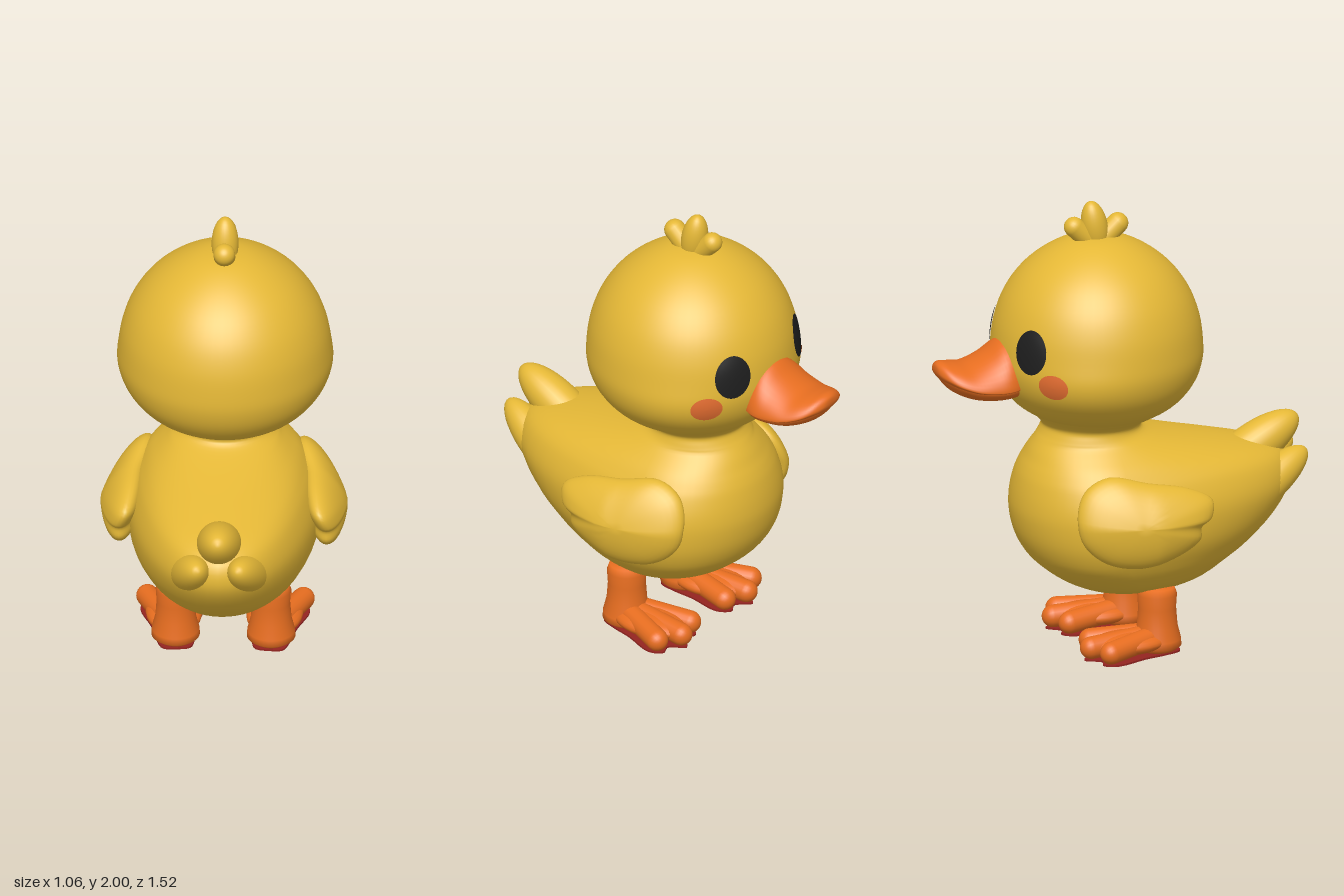
import * as THREE from 'three';
import { mergeVertices } from 'three/addons/utils/BufferGeometryUtils.js';

const V = (x, y, z) => new THREE.Vector3(x, y, z);

function material(name, color) {
  const m = new THREE.MeshStandardMaterial({ color });
  m.name = name;
  return m;
}

// Smooth interpolation through a list of stations, t in 0..1
function spline(stations, t) {
  const n = stations.length - 1;
  const f = Math.min(t * n, n - 1e-6), i = Math.floor(f), u = f - i;
  const at = k => stations[Math.max(0, Math.min(n, k))];
  return at(i).map((p1, c) => {
    const p0 = at(i - 1)[c], p2 = at(i + 1)[c], p3 = at(i + 2)[c];
    return p1 + 0.5 * u * (p2 - p0 + u * (2 * p0 - 5 * p1 + 4 * p2 - p3 + u * (3 * (p1 - p2) + p3 - p0)));
  });
}

// Closed skin over rings of points; point(t, angle) gives a position
function loft(rows, cols, point) {
  const pos = [], index = [];
  for (let i = 0; i <= rows; i++) {
    for (let j = 0; j < cols; j++) {
      pos.push(...point(i / rows, (j / cols) * Math.PI * 2));
      if (i === rows) continue;
      const a = i * cols + j, b = i * cols + (j + 1) % cols;
      index.push(a, b, b + cols, a, b + cols, a + cols);
    }
  }
  let g = new THREE.BufferGeometry();
  g.setAttribute('position', new THREE.Float32BufferAttribute(pos, 3));
  g.setIndex(index);
  g = mergeVertices(g, 1e-5);
  g.computeVertexNormals();
  return g;
}

// Body sections by height: y, half width, front z, back z; the neck flares into the head
const BODY = [
  [0.23, 0, -0.03, -0.03], [0.244, 0.13, 0.12, -0.21], [0.293, 0.255, 0.25, -0.37],
  [0.36, 0.33, 0.35, -0.48], [0.43, 0.378, 0.42, -0.58], [0.52, 0.412, 0.467, -0.675],
  [0.62, 0.42, 0.487, -0.75], [0.7, 0.41, 0.484, -0.775], [0.78, 0.38, 0.468, -0.75],
  [0.83, 0.35, 0.45, -0.67], [0.87, 0.32, 0.43, -0.51], [0.91, 0.28, 0.41, -0.33],
  [0.95, 0.24, 0.385, -0.17], [0.98, 0.222, 0.365, -0.09], [1.01, 0.216, 0.354, -0.082],
  [1.035, 0.238, 0.368, -0.118], [1.06, 0.278, 0.392, -0.166], [1.09, 0.316, 0.426, -0.205],
];

// Head profile: radius, y
const HEAD = [
  [0, 1.03], [0.2, 1.035], [0.285, 1.065], [0.365, 1.12], [0.427, 1.2], [0.457, 1.29], [0.458, 1.38],
  [0.441, 1.49], [0.398, 1.6], [0.325, 1.7], [0.225, 1.78], [0.113, 1.832], [0, 1.848],
];
const HEAD_Z = 0.111;

// Point on the head, with softly swelling cheeks
function headPoint(r, y, phi, lift = 0) {
  const d = Math.abs(Math.atan2(Math.sin(phi), Math.cos(phi))) - 1.1;
  const R = r * (1 + 0.04 * Math.exp(-d * d * 4 - ((y - 1.25) / 0.12) ** 2)) + lift;
  return [R * Math.sin(phi), y, HEAD_Z + R * Math.cos(phi)];
}

function headRadiusAt(y) {
  let lo = 0, hi = 1;
  for (let k = 0; k < 30; k++) {
    const mid = (lo + hi) / 2;
    if (spline(HEAD, mid)[1] < y) lo = mid; else hi = mid;
  }
  return spline(HEAD, lo)[0];
}

// Oval patch lying on the head
function facePatch(phi, y, rx, ry, lift) {
  const g = new THREE.RingGeometry(0.001, 1, 36, 6), p = g.attributes.position;
  for (let i = 0; i < p.count; i++) {
    const u = p.getX(i), v = p.getY(i), yy = y + v * ry;
    const h = 0.003 + lift * (1 - u * u - v * v);
    p.setXYZ(i, ...headPoint(headRadiusAt(yy), yy, phi + u * rx / 0.45, h));
  }
  g.computeVertexNormals();
  return g;
}

// Bill sections: z, half width, ridge y, edge y, bottom y
const BILL = [
  [0.45, 0.1, 1.41, 1.25, 1.18], [0.5, 0.155, 1.425, 1.245, 1.172], [0.56, 0.183, 1.425, 1.24, 1.167],
  [0.63, 0.185, 1.375, 1.24, 1.168], [0.71, 0.174, 1.34, 1.25, 1.18], [0.78, 0.146, 1.345, 1.272, 1.208],
  [0.825, 0.104, 1.352, 1.295, 1.242], [0.85, 0.05, 1.342, 1.31, 1.28], [0.855, 0, 1.32, 1.32, 1.32],
];

function upperBill(t, a) {
  const [z, w, top, edge] = spline(BILL, t), s = Math.sin(a);
  const y = s > 0 ? edge + (top - edge) * s ** 1.25 : edge + s * Math.min(0.024, w * 0.3);
  return [w * Math.cos(a), y, z];
}

function lowerBill(t, a) {
  const [z, w, , edge, bottom] = spline(BILL, t), s = Math.sin(a);
  const y = edge + s * (s > 0 ? 0.01 : edge - bottom);
  return [w * 0.93 * Math.cos(a), y, 0.45 + (z - 0.45) * 0.96];
}

// Wing outline from the top towards the front: y, z
const WING = new THREE.CatmullRomCurve3([
  [0.855, 0.18], [0.8, 0.29], [0.69, 0.335], [0.58, 0.315], [0.49, 0.22], [0.46, 0.08], [0.5, -0.09],
  [0.57, -0.2], [0.625, -0.205], [0.66, -0.25], [0.73, -0.265], [0.785, -0.17], [0.825, 0.02],
].map(([y, z]) => V(0, y, z)), true);

function wing(side) {
  return loft(20, 64, (t, a) => {
    const c = WING.getPoint((a / (Math.PI * 2)) % 1), k = Math.sin(t * Math.PI);
    const y = 0.66 + (c.y - 0.66) * k, z = 0.08 + (c.z - 0.08) * k;
    const x = 0.447 - 0.35 * Math.max(0, y - 0.66) - 0.2 * Math.max(0, z);
    return [side * x - 0.09 * Math.cos(t * Math.PI), y, z];
  });
}

export function createModel() {
  const yellow = material('yellow down', 0xe5b836);
  const orange = material('orange skin', 0xe86e20);
  const blush = material('blush', 0xe26c30);
  const black = material('eye black', 0x1e1e1e);
  const maroon = material('maroon sole', 0x942420);

  const model = new THREE.Group();
  model.name = 'duckling';
  model.rotation.y = THREE.MathUtils.degToRad(149);

  const add = (name, geometry, mat, parent = model) => {
    const m = new THREE.Mesh(geometry, mat);
    m.name = name;
    parent.add(m);
    return m;
  };
  const align = (m, a, b) => {
    m.position.copy(a).add(b).multiplyScalar(0.5);
    m.quaternion.setFromUnitVectors(V(0, 1, 0), b.clone().sub(a).normalize());
  };
  // Ellipsoid reaching from a to b
  const blob = (name, a, b, r, mat) => {
    const g = new THREE.SphereGeometry(1, 28, 20).scale(r, a.distanceTo(b) / 2, r);
    align(add(name, g, mat), a, b);
  };
  // Round-ended rod whose end centres are a and b
  const rod = (name, a, b, r, mat, parent) =>
    align(add(name, new THREE.CapsuleGeometry(r, a.distanceTo(b), 8, 20), mat, parent), a, b);

  add('body', loft(68, 56, (t, a) => {
    const [y, w, front, back] = spline(BODY, t);
    const middle = (front + back) / 2;
    const mid = y > 0.95 ? middle : Math.min(0.1, middle + Math.max(0, y - 0.235) * 0.9);
    const c = Math.cos(a);
    return [Math.max(0, w) * Math.sin(a), y, mid + c * (c > 0 ? front - mid : mid - back)];
  }), yellow);

  add('head', loft(56, 64, (t, a) => {
    const [r, y] = spline(HEAD, t);
    return headPoint(Math.max(0, r), y, a);
  }), yellow);

  // Head tuft
  blob('middleTuft', V(0, 1.76, 0.1), V(0, 2, 0.14), 0.058, yellow);
  rod('backTuft', V(0, 1.82, 0.09), V(0, 1.888, 0.015), 0.047, yellow);
  rod('frontTuft', V(0, 1.82, 0.14), V(0, 1.893, 0.215), 0.044, yellow);

  // Bill
  add('upperBill', loft(40, 40, upperBill), orange);
  add('lowerBill', loft(40, 40, lowerBill), orange);

  // Tail feathers
  blob('middleTailFeather', V(0, 0.67, -0.38), V(0, 0.928, -0.812), 0.098, yellow);

  for (const side of [1, -1]) {
    const label = side > 0 ? 'left' : 'right';
    blob(label + 'TailFeather', V(side * 0.17, 0.54, -0.42), V(side * 0.085, 0.798, -0.82), 0.085, yellow);
    add(label + 'Wing', wing(side), yellow);
    add(label + 'Eye', facePatch(side * 0.535, 1.425, 0.082, 0.096, 0.004), black);
    add(label + 'Cheek', facePatch(side * 0.8, 1.29, 0.068, 0.056, 0.001), blush);

    // Leg with a soft heel, turned slightly outwards
    const foot = new THREE.Group();
    foot.name = label + 'Foot';
    foot.position.set(side * 0.206, 0, -0.09);
    foot.rotation.y = side * 0.09;
    model.add(foot);
    const legProfile = [[0.001, 0.01], [0.08, 0.01], [0.105, 0.03], [0.103, 0.06], [0.088, 0.12], [0.082, 0.2], [0.086, 0.26], [0.075, 0.292], [0.001, 0.3]];
    const leg = new THREE.LatheGeometry(legProfile.map(([r, y]) => new THREE.Vector2(r, y)), 32);
    add(label + 'Leg', leg, orange, foot);

    // Webbing and three toes
    const web = new THREE.SphereGeometry(1, 28, 16).scale(0.122, 0.05, 0.18);
    add(label + 'Web', web, orange, foot).position.set(0, 0.06, 0.13);
    for (const [dx, tip] of [[-0.106, 0.27], [0, 0.315], [0.106, 0.27]])
      rod(label + 'Toe', V(dx * 0.25, 0.074, 0.03), V(dx, 0.057, tip), 0.049, orange, foot);

    // Flat sole
    const half = [[0.06, 0.08], [0.085, 0], [0.1, -0.1], [0.138, -0.25], [0.104, -0.305], [0.052, -0.288]];
    const outline = [[0, 0.09], ...half, [0, -0.348], ...half.slice().reverse().map(([u, v]) => [-u, v])];
    const curve = new THREE.CatmullRomCurve3(outline.map(([u, v]) => V(u, v, 0)), true);
    const shape = new THREE.Shape(curve.getPoints(60).map(p => new THREE.Vector2(p.x, p.y)));
    const sole = new THREE.ExtrudeGeometry(shape, { depth: 0.008, bevelEnabled: false }).rotateX(-Math.PI / 2);
    add(label + 'Sole', sole, maroon, foot).position.y = 0.002;
  }

  const group = new THREE.Group();
  group.name = 'model';
  group.add(model);
  return group;
}
